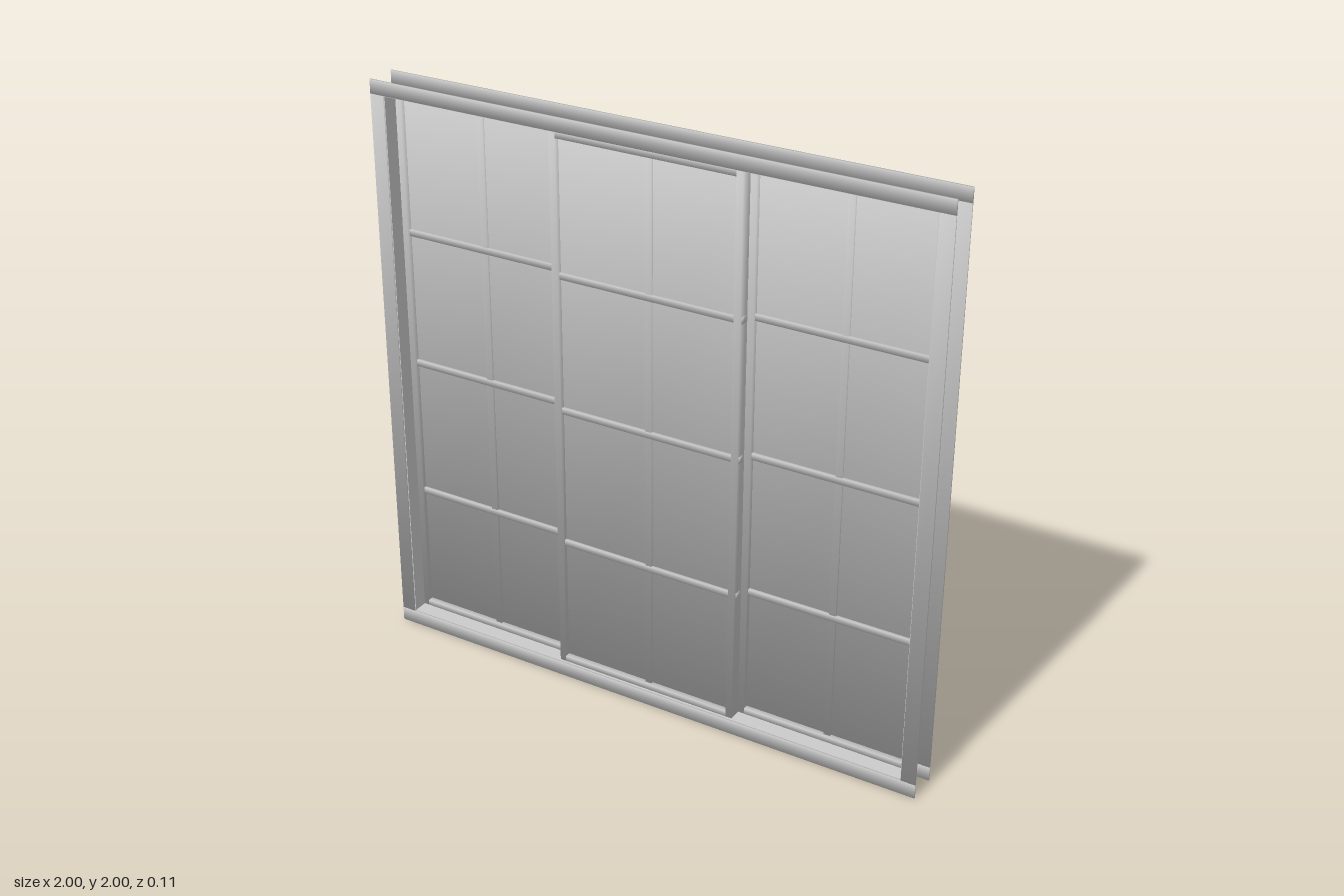
import * as THREE from 'three';

const material = new THREE.MeshStandardMaterial({ color: 0xcccccc });

// Box given by its min and max corners; soft boxes share averaged corner normals.
function bar(name, [x0, y0, z0], [x1, y1, z1], soft = true) {
  const geo = new THREE.BoxGeometry(x1 - x0, y1 - y0, z1 - z0);
  if (soft) {
    const p = geo.attributes.position, n = geo.attributes.normal, s = Math.sqrt(1 / 3);
    for (let i = 0; i < p.count; i++) {
      n.setXYZ(i, Math.sign(p.getX(i)) * s, Math.sign(p.getY(i)) * s, Math.sign(p.getZ(i)) * s);
    }
  }
  const mesh = new THREE.Mesh(geo, material);
  mesh.position.set((x0 + x1) / 2, (y0 + y1) / 2, (z0 + z1) / 2);
  mesh.name = name;
  return mesh;
}

// Glazed panel with stiles, rails, glass and glazing bars
function sash(name, x0, x1, z0, z1, barX) {
  const g = new THREE.Group();
  g.name = name;
  const w = 0.022, y0 = 0.05, y1 = 1.95, zc = (z0 + z1) / 2;
  g.add(
    bar('stileRight', [x0, y0, z0], [x0 + w, y1, z1]),
    bar('stileLeft', [x1 - w, y0, z0], [x1, y1, z1]),
    bar('bottomRail', [x0 + w, y0, z0], [x1 - w, y0 + w, z1]),
    bar('topRail', [x0 + w, y1 - w, z0], [x1 - w, y1, z1]),
    bar('glass', [x0 + w, y0 + w, zc - 0.003], [x1 - w, y1 - w, zc + 0.003]),
    bar('verticalGlazingBar', [barX - 0.011, y0 + w, zc - 0.012], [barX + 0.011, y1 - w, zc + 0.012])
  );
  for (const y of [0.515, 1.005, 1.475]) {
    g.add(bar('horizontalGlazingBar', [x0 + 0.003, y - 0.011, zc - 0.013], [x1 + 0.002, y + 0.011, zc + 0.013]));
  }
  return g;
}

export function createModel() {
  const model = new THREE.Group();
  model.name = 'slidingWindow';

  // Thin casing on the front and back faces
  for (const [side, z] of [['front', 0.051], ['back', -0.057]]) {
    const casing = new THREE.Group();
    casing.name = side + 'Casing';
    casing.add(
      bar('topCasing', [-1, 1.953, z], [1, 2, z + 0.006]),
      bar('bottomCasing', [-1, 0, z], [1, 0.05, z + 0.006]),
      bar('rightCasing', [-1, 0.05, z], [-0.95, 1.953, z + 0.006]),
      bar('leftCasing', [0.95, 0.05, z], [1, 1.953, z + 0.006])
    );
    model.add(casing);
  }

  // Lining between the casings; the left jamb is open behind the sash
  const lining = new THREE.Group();
  lining.name = 'lining';
  lining.add(
    bar('head', [-0.952, 1.95, -0.053], [0.952, 1.956, 0.053], false),
    bar('sill', [-0.952, 0.046, -0.053], [0.952, 0.052, 0.053], false),
    bar('rightJamb', [-0.953, 0.05, -0.053], [-0.947, 1.952, 0.053], false),
    bar('leftJamb', [0.947, 0.05, 0], [0.953, 1.952, 0.053], false)
  );
  model.add(lining);

  // Middle sash runs on the front track, the outer two on the back track
  model.add(
    sash('rightSash', -0.95, -0.334, -0.045, 0, -0.63),
    sash('middleSash', -0.335, 0.335, 0, 0.045, 0.01),
    sash('leftSash', 0.334, 0.95, -0.045, 0, 0.655)
  );
  return model;
}
